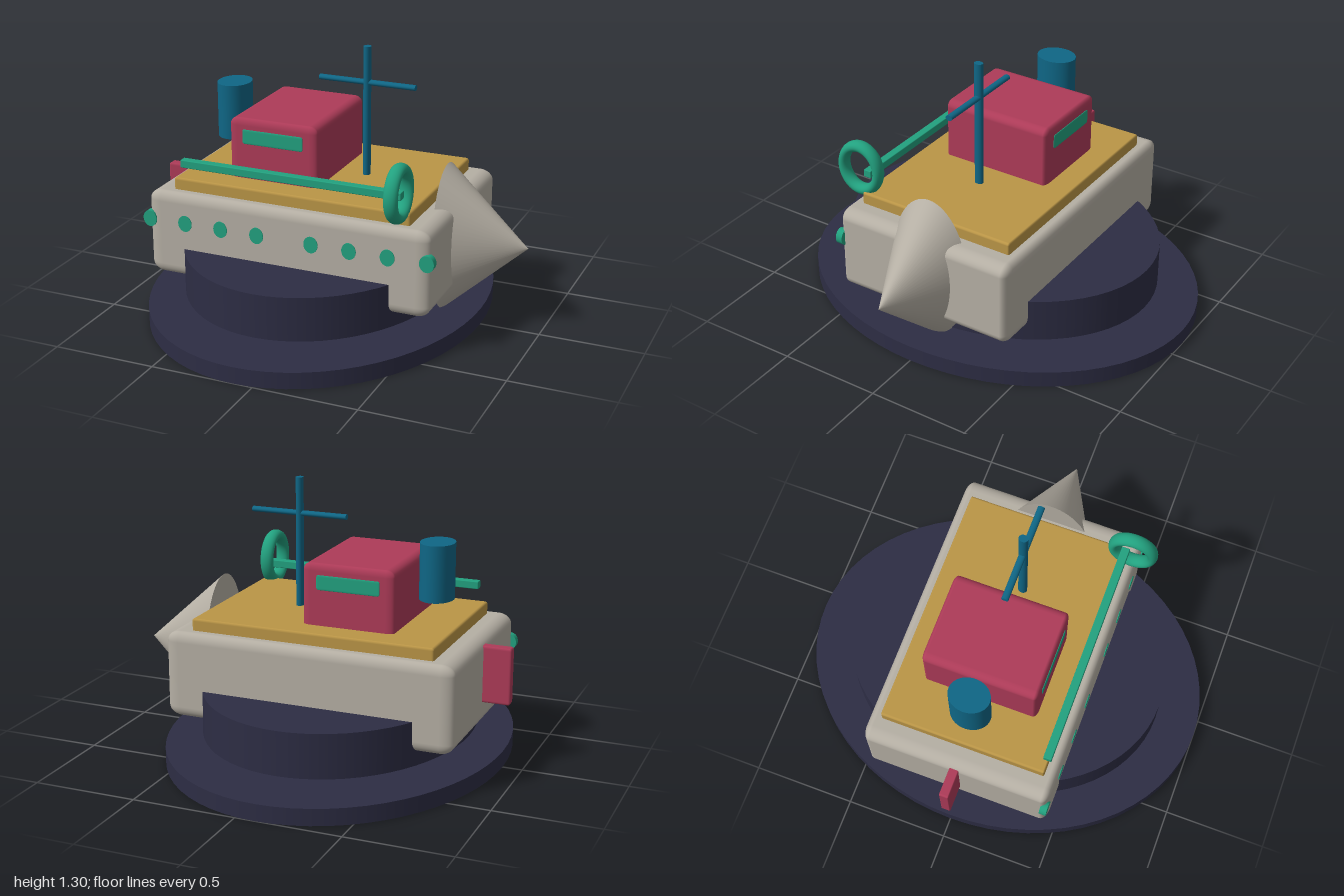
import * as THREE from 'three';
import { RoundedBoxGeometry } from 'three/addons/geometries/RoundedBoxGeometry.js';

const mat = (name, color) => {
  const m = new THREE.MeshStandardMaterial({ color });
  m.name = name;
  return m;
};

export function createModel() {
  const navy = mat('navy', 0x2d2d44);
  const grey = mat('warm grey', 0xb5afa4);
  const gold = mat('gold', 0xba9546);
  const red = mat('crimson', 0xad3b58);
  const blue = mat('deep blue', 0x0f6685);
  const green = mat('sea green', 0x22a17f);

  const boat = new THREE.Group();
  boat.name = 'boat';

  const add = (name, geometry, material, x, y, z) => {
    const mesh = new THREE.Mesh(geometry, material);
    mesh.name = name;
    mesh.position.set(x, y, z);
    boat.add(mesh);
    return mesh;
  };

  // Box given by its limits, with a different edge radius along each axis
  const block = (name, material, [x0, x1], [y0, y1], [z0, z1], [rx, ry, rz]) => {
    const g = new RoundedBoxGeometry((x1 - x0) / rx, (y1 - y0) / ry, (z1 - z0) / rz, 4, 1);
    g.scale(rx, ry, rz);
    return add(name, g, material, (x0 + x1) / 2, (y0 + y1) / 2, (z0 + z1) / 2);
  };

  // Upright elliptical cylinder
  const drum = (name, material, x, z, rx, rz, y0, y1) => {
    const g = new THREE.CylinderGeometry(1, 1, y1 - y0, 64).scale(rx, 1, rz);
    return add(name, g, material, x, (y0 + y1) / 2, z);
  };

  // Two-step oval stand
  drum('standBase', navy, -0.097, 0, 0.808, 1, 0, 0.08);
  drum('standStep', navy, -0.097, 0, 0.64, 0.793, 0.13, 0.342);

  // Hull, deck, bow and rudder
  block('hull', grey, [-0.803, 0.612], [0.2, 0.617], [-0.462, 0.462], [0.065, 0.05, 0.035]);
  block('deck', gold, [-0.69, 0.498], [0.58, 0.675], [-0.405, 0.405], [0.012, 0.012, 0.008]);
  const bow = new THREE.ConeGeometry(1, 0.4, 64, 1).rotateZ(-Math.PI / 2).scale(1, 0.362, 0.206);
  add('bow', bow, grey, 0.73, 0.423, 0);
  block('rudder', red, [-0.935, -0.78], [0.315, 0.588], [-0.024, 0.024], [0.01, 0.012, 0.006]);

  // Cabin with a window strip on both sides
  block('cabin', red, [-0.455, -0.01], [0.6, 0.968], [-0.281, 0.281], [0.04, 0.035, 0.02]);
  for (const side of [1, -1]) {
    const z = side * 0.281;
    block('cabinWindow', green, [-0.387, -0.08], [0.845, 0.915], [z - 0.004, z + 0.004], [0.01, 0.01, 0.002]);
  }

  // Funnel, mast and yard
  drum('funnel', blue, -0.565, 0, 0.081, 0.098, 0.785, 1.053);
  drum('mast', blue, 0.124, 0, 0.018, 0.022, 0.66, 1.3);
  const yard = new THREE.CylinderGeometry(1, 1, 0.48, 32).rotateZ(Math.PI / 2).scale(1, 0.013, 0.017);
  add('yard', yard, blue, 0.125, 1.127, 0);

  // Side rail ending in a life ring
  block('rail', green, [-0.645, 0.46], [0.735, 0.773], [0.382, 0.422], [0.004, 0.004, 0.004]);
  const ring = new THREE.TorusGeometry(0.112, 0.027, 24, 64).rotateY(Math.PI / 2).scale(1.25, 1, 0.88);
  add('lifeRing', ring, green, 0.456, 0.777, 0.438);

  // Row of portholes along the front side
  for (const x of [-0.795, -0.608, -0.422, -0.235, 0.04, 0.228, 0.415, 0.602]) {
    const g = new THREE.CylinderGeometry(1, 1, 0.034, 40).rotateX(Math.PI / 2).scale(0.035, 0.04, 1);
    add('porthole', g, green, x, 0.473, 0.449);
  }

  return boat;
}
